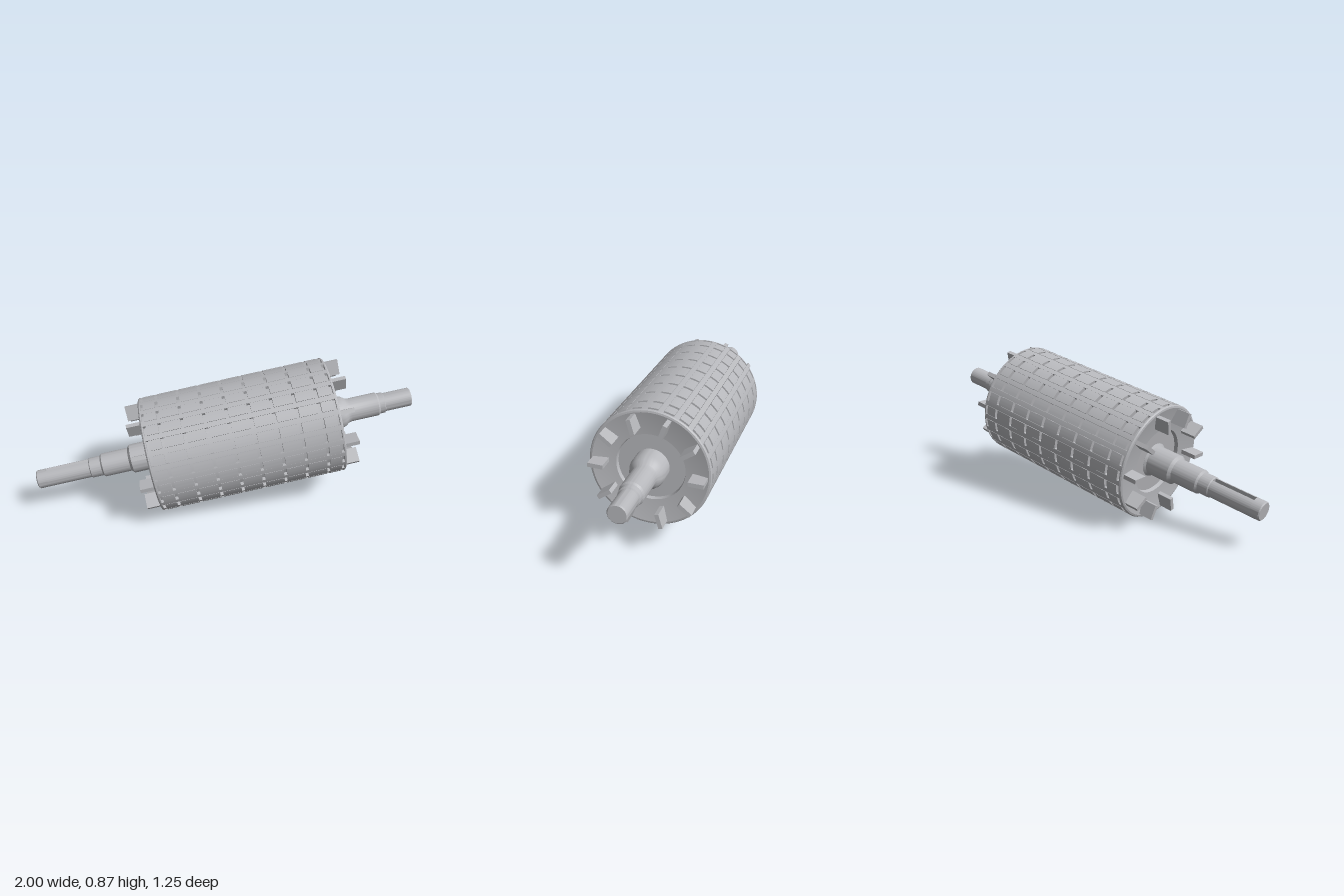
import * as THREE from 'three';
import { mergeGeometries, toCreasedNormals } from 'three/addons/utils/BufferGeometryUtils.js';

const R = 0.343, CORE_R = 0.322, HALF = 0.5575; // drum radius, core radius, half length
const SLOTS = 24, PITCH = (Math.PI * 2) / SLOTS;
const DRUM_Z = 0.1075; // drum centre along the shaft

// Turned part about z; profile is [radius, z] in order of rising z.
function turned(profile) {
  const pts = profile.map(([r, z]) => new THREE.Vector2(r, z));
  const geo = new THREE.LatheGeometry(pts, 72);
  geo.rotateX(Math.PI / 2);
  return toCreasedNormals(geo, 0.4);
}

// Curved bar: a ring sector extruded from z0 to z1.
function sector(a0, a1, r0, r1, z0, z1) {
  const shape = new THREE.Shape();
  shape.absarc(0, 0, r1, a0, a1, false);
  shape.absarc(0, 0, r0, a1, a0, true);
  const geo = new THREE.ExtrudeGeometry(shape, { depth: z1 - z0, bevelEnabled: false, curveSegments: 4 });
  geo.translate(0, 0, z0);
  return toCreasedNormals(geo, 0.5);
}

export function createModel() {
  const steel = new THREE.MeshStandardMaterial({ color: 0xb8b9bd });
  steel.name = 'steel grey';

  const model = new THREE.Group();
  model.name = 'rotor';
  const axis = new THREE.Group(); // shaft runs along local z
  axis.name = 'rotorAxis';
  axis.rotation.y = Math.PI / 2;
  model.add(axis);

  const add = (name, geo, parent) => {
    const mesh = new THREE.Mesh(geo, steel);
    mesh.name = name;
    parent.add(mesh);
    return mesh;
  };

  const drum = new THREE.Group();
  drum.name = 'drum';
  drum.position.z = DRUM_Z;
  axis.add(drum);

  // Core with dished end rings and recessed hubs
  const end = [[R, 0.542], [R, 0.549], [0.338, 0.555], [0.328, HALF], [0.26, 0.545], [0.195, 0.539], [0.19, 0.517], [0, 0.517]];
  const profile = [
    ...end.map(([r, z]) => [r, -z]).reverse(),
    [CORE_R, -0.542], [CORE_R, 0.542],
    ...end,
  ];
  add('drumCore', turned(profile), drum);

  // Lamination packets separated by cooling gaps
  const gaps = [-0.535];
  for (let i = 0; i < 8; i++) gaps.push((i - 3.5) * 0.128);
  gaps.push(0.535);
  const teeth = [], wedges = [];
  const toothHalf = PITCH * 0.32, wedgeHalf = PITCH * 0.165;
  for (let s = 0; s < SLOTS; s++) {
    const a = s * PITCH;
    for (let g = 0; g < gaps.length - 1; g++) {
      teeth.push(sector(a - toothHalf, a + toothHalf, CORE_R - 0.005, R, gaps[g] + 0.009, gaps[g + 1] - 0.009));
    }
    // Slot wedges run the full length between the teeth
    const b = a + PITCH / 2;
    wedges.push(sector(b - wedgeHalf, b + wedgeHalf, CORE_R - 0.005, R - 0.001, -0.543, 0.543));
  }
  add('laminationTeeth', mergeGeometries(teeth), drum);
  add('slotWedges', mergeGeometries(wedges), drum);

  // Fan blades on both end rings
  for (const side of [-1, 1]) {
    const fan = new THREE.Group();
    fan.name = side > 0 ? 'rightFan' : 'leftFan';
    drum.add(fan);
    for (let i = 0; i < 10; i++) {
      const a = (i * Math.PI) / 5;
      const blade = add('fanBlade', new THREE.BoxGeometry(0.087, 0.024, 0.11), fan);
      blade.position.set(Math.cos(a) * 0.2785, Math.sin(a) * 0.2785, side * 0.583);
      blade.rotation.z = a;
    }
  }

  // Stepped shaft, with a keyed length near the left end
  const KEY0 = -1.08, KEY1 = -0.82, SHAFT_R = 0.055;
  add('leftShaftTip', turned([[0, -1.14], [0.049, -1.14], [SHAFT_R, -1.134], [SHAFT_R, KEY0], [0, KEY0]]), axis);
  add('shaft', turned([
    [0, KEY1], [SHAFT_R, KEY1], [0.06, -0.815], [0.06, -0.75], [0.07, -0.74], [0.07, -0.58],
    [0.086, -0.565], [0.086, -0.42], [0.1, -0.41], [0.1, 0.7], [0.09, 0.73], [0.075, 0.75], [0.07, 0.77],
    [0.07, 0.935], [0.062, 0.945], [0.062, 0.975], [SHAFT_R, 0.98],
    [SHAFT_R, 1.134], [0.049, 1.14], [0, 1.14],
  ]), axis);

  const key = new THREE.Shape();
  const mid = Math.PI / 2 - 0.15, half = 0.27;
  key.absarc(0, 0, SHAFT_R, mid + half, mid - half + Math.PI * 2, false);
  for (const off of [-half, half]) {
    const x = Math.cos(mid) * 0.034 + Math.sin(mid) * Math.sin(-off) * -SHAFT_R;
    const y = Math.sin(mid) * 0.034 - Math.cos(mid) * Math.sin(-off) * -SHAFT_R;
    // inner corners of the keyway, right then left
    key.lineTo(off < 0 ? Math.max(x, -x) : Math.min(x, -x + 2 * Math.cos(mid) * 0.034), y);
  }
  key.closePath();
  const keyed = new THREE.ExtrudeGeometry(key, { depth: KEY1 - KEY0, bevelEnabled: false, curveSegments: 48 });
  keyed.translate(0, 0, KEY0);
  add('keyedShaft', toCreasedNormals(keyed, 0.4), axis);

  // Lean of the whole rotor: turned 30 degrees, raised 10 degrees
  model.rotation.set(0, Math.PI / 6, Math.PI / 18, 'YZX');
  model.position.set(0, 0.416, 0.01);

  const root = new THREE.Group();
  root.name = 'rotorModel';
  root.add(model);
  return root;
}
